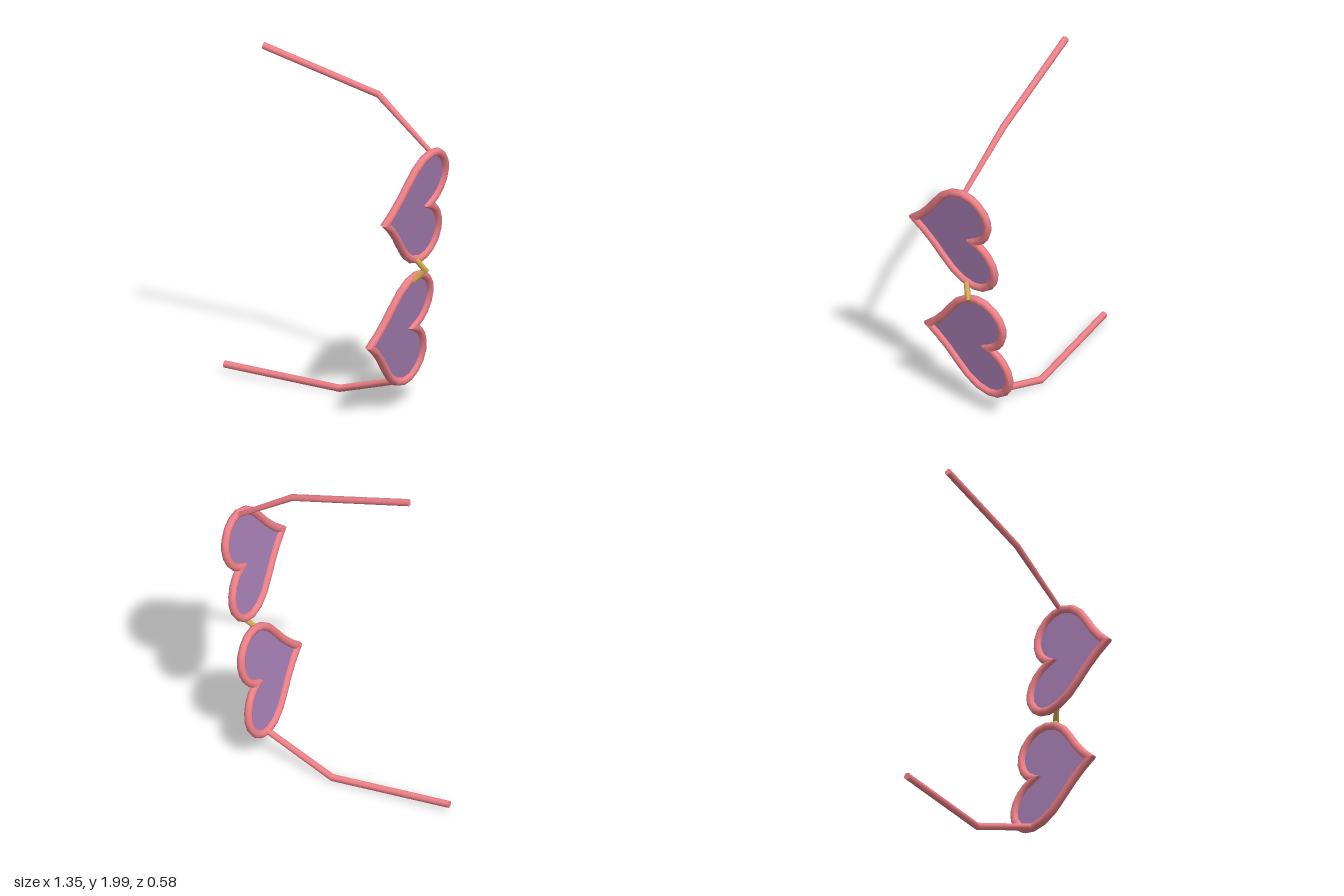
import * as THREE from 'three';
import { toCreasedNormals } from 'three/addons/utils/BufferGeometryUtils.js';

const V = (x, y, z) => new THREE.Vector3(x, y, z);
const SIDES = 8;

const pink = new THREE.MeshStandardMaterial({ color: 0xf08088 });
const gold = new THREE.MeshStandardMaterial({ color: 0xd4a850 });
const purple = new THREE.MeshStandardMaterial({ color: 0xa57db2, side: THREE.DoubleSide });

// Tilted plane shared by both hearts: x as a function of y and z
const planeX = (y, z) => 0.65 + 0.155 * (y - 1.22) + 0.14 * (z - 0.27);
const planeNormal = V(1, -0.155, -0.14).normalize();

// Round rod swept along a planar polyline with mitred corners
function rod(points, radii, normal, closed) {
  const n = points.length;
  const pos = [];
  const index = [];
  points.forEach((p, i) => {
    const prev = closed || i > 0 ? points[(i + n - 1) % n] : null;
    const next = closed || i < n - 1 ? points[(i + 1) % n] : null;
    const tOut = next ? next.clone().sub(p).normalize() : p.clone().sub(prev).normalize();
    const tIn = prev ? p.clone().sub(prev).normalize() : tOut.clone();
    const t = tIn.clone().add(tOut).normalize();
    const miter = Math.min(1 / t.dot(tOut), 1.8);
    const side = normal.clone().cross(t).normalize();
    const r = Array.isArray(radii) ? radii[i] : radii;
    for (let j = 0; j < SIDES; j++) {
      const a = (j / SIDES) * Math.PI * 2;
      const q = p.clone()
        .addScaledVector(side, Math.cos(a) * r * miter)
        .addScaledVector(normal, Math.sin(a) * r);
      pos.push(q.x, q.y, q.z);
    }
  });
  for (let i = 0; i < (closed ? n : n - 1); i++) {
    const k = (i + 1) % n;
    for (let j = 0; j < SIDES; j++) {
      const m = (j + 1) % SIDES;
      const a = i * SIDES + j, b = i * SIDES + m;
      const c = k * SIDES + j, d = k * SIDES + m;
      index.push(a, b, c, b, d, c);
    }
  }
  if (!closed) {
    const last = (n - 1) * SIDES;
    for (let j = 1; j < SIDES - 1; j++) {
      index.push(0, j + 1, j, last, last + j, last + j + 1);
    }
  }
  const geo = new THREE.BufferGeometry();
  geo.setAttribute('position', new THREE.Float32BufferAttribute(pos, 3));
  geo.setIndex(index);
  return toCreasedNormals(geo, 1);
}

// Three-point rod, bent in its own plane
function bentRod(a, b, c, radii) {
  const normal = b.clone().sub(a).cross(c.clone().sub(b)).normalize();
  return rod([a, b, c], radii, normal, false);
}

// Heart outline as (z, y offset) pairs: half a curve, mirrored
function heartOutline() {
  const half = new THREE.SplineCurve([
    [0.255, 0], [0.164, 0.08], [0.08, 0.185], [-0.01, 0.282], [-0.115, 0.32], [-0.2, 0.297],
    [-0.258, 0.23], [-0.27, 0.15], [-0.242, 0.073], [-0.195, 0.024], [-0.145, 0],
  ].map(([z, y]) => new THREE.Vector2(z, y))).getPoints(15);
  const mirrored = half.slice(1, -1).reverse().map((p) => new THREE.Vector2(p.x, -p.y));
  return [...half, ...mirrored];
}

export function createModel() {
  const group = new THREE.Group();
  const add = (name, geometry, material, parent = group) => {
    const mesh = new THREE.Mesh(geometry, material);
    mesh.name = name;
    parent.add(mesh);
  };

  // Heart rims and lenses
  const outline = heartOutline();
  for (const [side, cy] of [['upper', 1.22], ['lower', 0.48]]) {
    const eye = new THREE.Group();
    eye.name = side + 'Eye';
    group.add(eye);
    const path = outline.map((p) => V(planeX(cy + p.y, p.x), cy + p.y, p.x));
    add(side + 'Rim', rod(path, 0.023, planeNormal, true), pink, eye);

    const lens = new THREE.ShapeGeometry(new THREE.Shape(outline));
    const pos = lens.attributes.position;
    for (let i = 0; i < pos.count; i++) {
      const z = pos.getX(i), y = cy + pos.getY(i);
      pos.setXYZ(i, planeX(y, z), y, z);
    }
    lens.computeVertexNormals();
    add(side + 'Lens', lens, purple, eye);
  }

  // Nose bridge
  add('bridge', bentRod(V(0.567, 0.915, -0.074), V(0.6, 0.845, -0.118), V(0.55, 0.785, -0.074), 0.016), gold);

  // Temples
  add('upperTemple', bentRod(V(-0.38, 1.978, 0.13), V(0.287, 1.803, -0.076), V(0.628, 1.545, -0.122),
    [0.02, 0.019, 0.014]), pink);
  add('lowerTemple', bentRod(V(-0.672, 0.054, 0.13), V(0, 0.024, -0.073), V(0.43, 0.165, -0.122),
    [0.02, 0.02, 0.019]), pink);

  return group;
}
